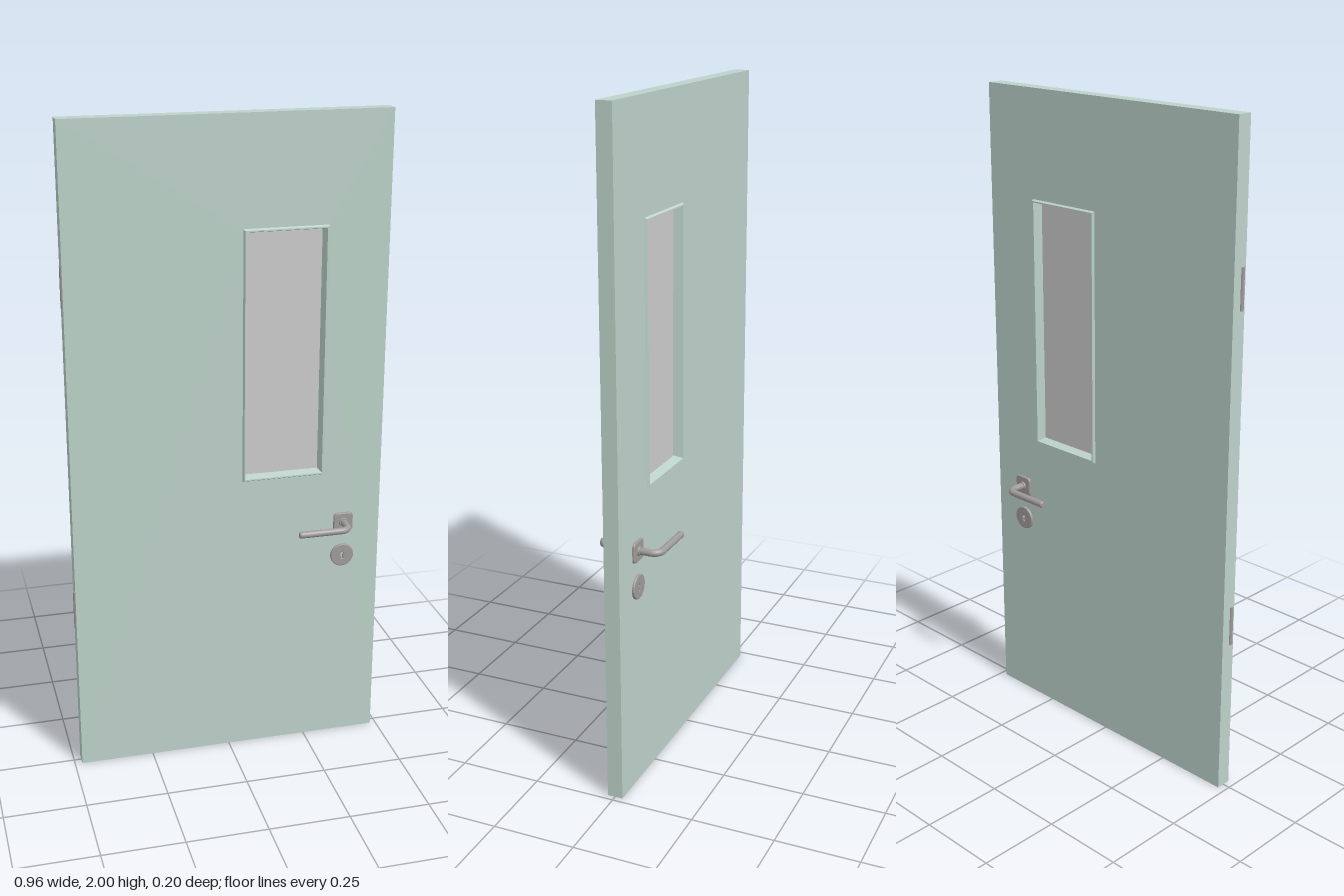
import * as THREE from 'three';

const paint = new THREE.MeshStandardMaterial({ color: 0xbcd2c9 });
const metal = new THREE.MeshStandardMaterial({ color: 0xa09b9b });
const grey = new THREE.MeshStandardMaterial({ color: 0xcccccc });

const HALF = 0.0235;                  // half the leaf thickness
const WIN = { x: 0.17, y: 1.292 };    // window centre
const LOCK_X = 0.365, LEVER_Y = 0.742, KEY_Y = 0.63;

function add(parent, name, geometry, material, x = 0, y = 0, z = 0) {
  const mesh = new THREE.Mesh(geometry, material);
  mesh.name = name;
  mesh.position.set(x, y, z);
  parent.add(mesh);
  return mesh;
}

function rect(path, x0, y0, x1, y1) {
  path.moveTo(x0, y0);
  path.lineTo(x1, y0);
  path.lineTo(x1, y1);
  path.lineTo(x0, y1);
  path.closePath();
  return path;
}

// Sweeps a closed profile of [half width, z] around a rectangle with mitred corners
function mitredFrame(profile, extraHeight) {
  const corners = [[1, 1], [-1, 1], [-1, -1], [1, -1]];
  const point = (c, p) => {
    const [sx, sy] = corners[c % 4];
    const [w, z] = profile[p % profile.length];
    return [sx * w, sy * (w + extraHeight), z];
  };
  const positions = [];
  for (let c = 0; c < 4; c++) {
    for (let p = 0; p < profile.length; p++) {
      const a = point(c, p), b = point(c, p + 1), d = point(c + 1, p + 1), e = point(c + 1, p);
      positions.push(...a, ...b, ...d, ...a, ...d, ...e);
    }
  }
  const geometry = new THREE.BufferGeometry();
  geometry.setAttribute('position', new THREE.Float32BufferAttribute(positions, 3));
  geometry.computeVertexNormals();
  return geometry;
}

function roundedSquare(h, r) {
  const s = new THREE.Shape();
  s.absarc(h - r, h - r, r, 0, Math.PI / 2);
  s.absarc(r - h, h - r, r, Math.PI / 2, Math.PI);
  s.absarc(r - h, r - h, r, Math.PI, Math.PI * 1.5);
  s.absarc(h - r, r - h, r, Math.PI * 1.5, Math.PI * 2);
  s.closePath();
  return s;
}

// Thin plate with a bevelled face, seated in the leaf and ending at z = 0.031
function plate(shape) {
  const geometry = new THREE.ExtrudeGeometry(shape, {
    depth: 0.009, bevelEnabled: true, bevelThickness: 0.003, bevelSize: 0.003,
    bevelOffset: -0.003, bevelSegments: 2, curveSegments: 24,
  });
  return geometry.translate(0, 0, 0.019);
}

// Lever that leaves the door, bends and runs back toward the hinges
function lever() {
  const group = new THREE.Group();
  const r = 0.0105, reach = 0.0915, bend = 0.026;
  const path = new THREE.CurvePath();
  const v = (x, z) => new THREE.Vector3(x, 0, z);
  const k = bend * 0.45;
  path.add(new THREE.LineCurve3(v(0, 0.02), v(0, reach - bend)));
  path.add(new THREE.CubicBezierCurve3(v(0, reach - bend), v(0, reach - k), v(-k, reach), v(-bend, reach)));
  path.add(new THREE.LineCurve3(v(-bend, reach), v(-0.157, reach)));
  add(group, 'leverBar', new THREE.TubeGeometry(path, 64, r, 20), metal);
  const tip = new THREE.CylinderGeometry(0.008, r, 0.004, 20).rotateZ(Math.PI / 2);
  add(group, 'leverTip', tip, metal, -0.159, 0, reach);
  const collar = new THREE.CylinderGeometry(0.013, 0.015, 0.008, 24).rotateX(Math.PI / 2);
  add(group, 'leverCollar', collar, metal, 0, 0, 0.032);
  add(group, 'leverRosette', plate(roundedSquare(0.031, 0.012)), metal);
  return group;
}

// Round cover with a keyhole: a circle above a narrow slot
function keyCover() {
  const group = new THREE.Group();
  const shape = new THREE.Shape().absarc(0, 0, 0.037, 0, Math.PI * 2);
  const hole = new THREE.Path();
  hole.moveTo(-0.0025, -0.011);
  hole.lineTo(0.0025, -0.011);
  hole.lineTo(0.0025, 0);
  hole.absarc(0, 0.004, 0.0047, -1.01, Math.PI + 1.01);
  hole.closePath();
  shape.holes.push(hole);
  add(group, 'keyPlate', plate(shape), metal);
  return group;
}

export function createModel() {
  const door = new THREE.Group();
  door.name = 'door';

  // Leaf with the window opening
  const leaf = rect(new THREE.Shape(), -0.477, 0, 0.482, 2);
  leaf.holes.push(rect(new THREE.Path(), WIN.x - 0.12, WIN.y - 0.376, WIN.x + 0.12, WIN.y + 0.376));
  const leafGeometry = new THREE.ExtrudeGeometry(leaf, { depth: HALF * 2, bevelEnabled: false });
  add(door, 'doorLeaf', leafGeometry, paint, 0, 0, -HALF);

  // Bevelled window frame, the same on both faces, and its pane
  const profile = [
    [0.128, -HALF], [0.124, -0.031], [0.12, -0.031], [0.113, -0.004],
    [0.113, 0.004], [0.12, 0.031], [0.124, 0.031], [0.128, HALF],
  ];
  add(door, 'windowFrame', mitredFrame(profile, 0.257), paint, WIN.x, WIN.y);
  add(door, 'windowPane', new THREE.BoxGeometry(0.23, 0.744, 0.006), grey, WIN.x, WIN.y);

  // Lever and key cover on each face
  for (const side of ['front', 'back']) {
    const handle = lever();
    handle.name = side + 'Handle';
    handle.position.set(LOCK_X, LEVER_Y, 0);
    const cover = keyCover();
    cover.name = side + 'KeyCover';
    cover.position.set(LOCK_X - 0.001, KEY_Y, 0);
    if (side === 'back') {
      handle.rotation.x = Math.PI;
      cover.rotation.y = Math.PI;
    }
    door.add(handle, cover);
  }

  // Hinge knuckles on the right edge
  for (const [name, y] of [['upperHinge', 1.54], ['lowerHinge', 0.536]]) {
    add(door, name, new THREE.CylinderGeometry(0.0065, 0.0065, 0.12, 20), metal, -0.476, y, 0.0115);
  }
  return door;
}
